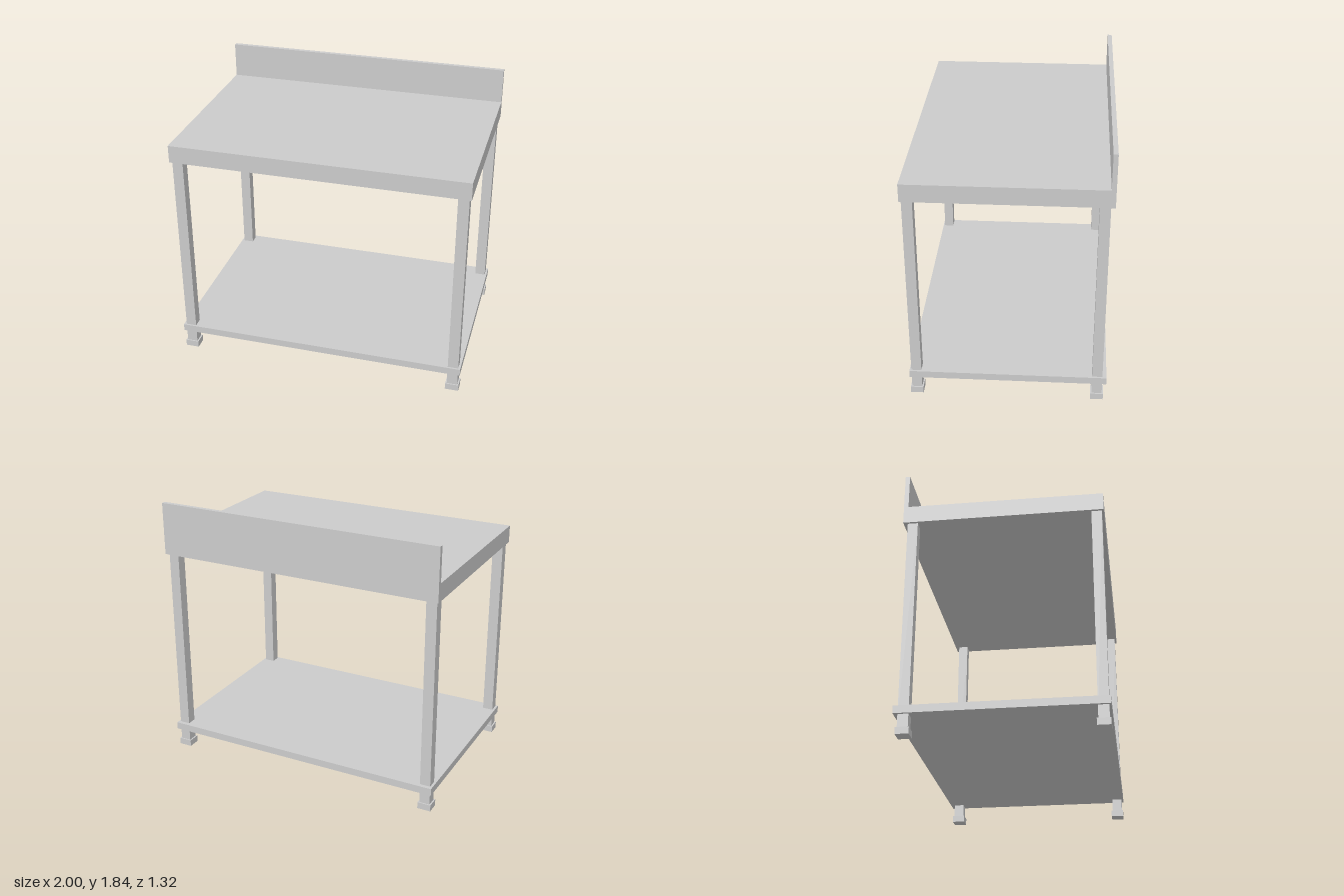
import * as THREE from 'three';

const material = new THREE.MeshStandardMaterial({ color: 0xcccccc, flatShading: true });

export function createModel() {
  const table = new THREE.Group();
  table.name = 'workTable';

  const add = (name, geometry, x = 0, y = 0, z = 0) => {
    const mesh = new THREE.Mesh(geometry, material);
    mesh.name = name;
    mesh.position.set(x, y, z);
    table.add(mesh);
  };

  // Worktop and upstand share one L-shaped section, extruded along the width
  const section = new THREE.Shape([
    [-0.658, 1.48], [0.658, 1.48], [0.658, 1.84],
    [0.628, 1.84], [0.628, 1.6], [-0.658, 1.6],
  ].map(([u, y]) => new THREE.Vector2(u, y)));
  const top = new THREE.ExtrudeGeometry(section, { depth: 2, bevelEnabled: false });
  top.translate(0, 0, -1).rotateY(Math.PI / 2);
  add('worktopWithBacksplash', top);

  // Lower shelf
  add('shelf', new THREE.BoxGeometry(2, 0.05, 1.316), 0, 0.157, 0);

  // Square legs, each standing in a wider foot
  const legGeometry = new THREE.BoxGeometry(0.072, 1.44, 0.068);
  const footGeometry = new THREE.BoxGeometry(0.092, 0.045, 0.086);
  for (const [side, x] of [['Left', 0.95], ['Right', -0.947]]) {
    for (const [end, z] of [['front', 0.612], ['back', -0.597]]) {
      add(`${end}${side}Leg`, legGeometry, x, 0.763, z);
      add(`${end}${side}Foot`, footGeometry, x, 0.0225, z);
    }
  }

  return table;
}
